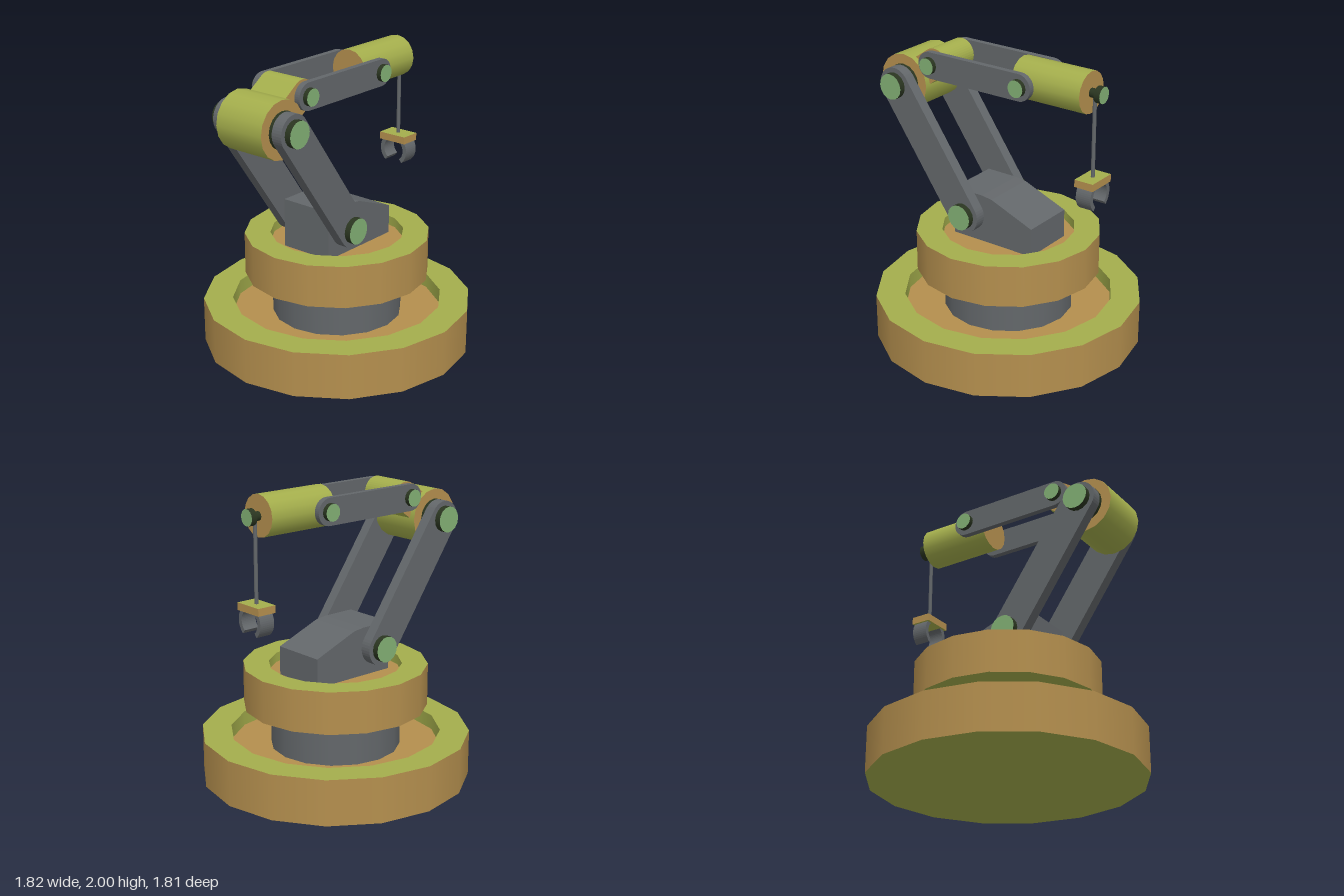
import * as THREE from 'three';

const mat = (name, color) => Object.assign(new THREE.MeshStandardMaterial({ color }), { name });

export function createModel() {
  const olive = mat('olive', 0xa4ae4c);
  const ochre = mat('ochre', 0xb48f4e);
  const grey = mat('steelGrey', 0x63676a);
  const dark = mat('darkPin', 0x2a3520);
  const green = mat('pinCapGreen', 0x82b074);

  const root = new THREE.Group();
  root.name = 'robotArm';

  const add = (name, geo, material, parent = root) => {
    const m = new THREE.Mesh(geo, material);
    m.name = name;
    parent.add(m);
    return m;
  };

  // Cylinder along z, centred at (x, y, z)
  const cylZ = (name, x, y, z, r, len, side, cap, seg = 16) => {
    const g = new THREE.CylinderGeometry(r, r, len, seg).rotateX(Math.PI / 2).translate(x, y, z);
    return add(name, g, [side, cap, cap]);
  };
  // Cylinder along x from x0 to x1
  const cylX = (name, x0, x1, y, r, side, cap) => {
    const g = new THREE.CylinderGeometry(r, r, x1 - x0, 16).rotateZ(-Math.PI / 2).translate((x0 + x1) / 2, y, 0);
    return add(name, g, [side, cap, cap]);
  };
  // Round-ended bar between points a and b, from z0 to z1
  const bar = (name, a, b, r, z0, z1, cap, side) => {
    const t = Math.atan2(b[1] - a[1], b[0] - a[0]);
    const s = new THREE.Shape();
    s.absarc(b[0], b[1], r, t - Math.PI / 2, t + Math.PI / 2, false);
    s.absarc(a[0], a[1], r, t + Math.PI / 2, t + Math.PI * 1.5, false);
    const g = new THREE.ExtrudeGeometry(s, { depth: z1 - z0, bevelEnabled: false, curveSegments: 10 });
    return add(name, g.translate(0, 0, z0), [cap, side]);
  };

  // Dished turntable: wall, rim, inner wall, floor and underside
  const dish = (name, r, inner, y0, y1, floor) => {
    const group = new THREE.Group();
    group.name = name;
    root.add(group);
    const p = [[0, y0], [r, y0], [r, y1], [inner, y1], [inner, floor], [0, floor]];
    const parts = [['Underside', olive], ['Wall', ochre], ['Rim', olive], ['InnerWall', olive], ['Floor', ochre]];
    parts.forEach(([part, m], i) => {
      const pts = [p[i], p[i + 1]].map(([x, y]) => new THREE.Vector2(x, y));
      add(name + part, new THREE.LatheGeometry(pts, 16), m, group);
    });
  };

  dish('base', 0.907, 0.71, 0, 0.31, 0.21);
  dish('turntable', 0.62, 0.447, 0.495, 0.78, 0.715);
  add('neck', new THREE.CylinderGeometry(0.437, 0.437, 0.275, 16).translate(0, 0.3475, 0), grey);
  add('neckGasket', new THREE.CylinderGeometry(0.425, 0.425, 0.012, 16).translate(0, 0.49, 0), dark);

  // Shoulder block
  const body = new THREE.Shape([[-0.31, 0.71], [0.32, 0.71], [0.32, 0.91], [0, 1.035], [-0.08, 1.045], [-0.31, 1.045]]
    .map(([x, y]) => new THREE.Vector2(x, y)));
  add('shoulderBlock', new THREE.ExtrudeGeometry(body, { depth: 0.38, bevelEnabled: false }).translate(0, 0, -0.19), grey);

  // Joints
  const shoulder = [-0.17, 0.907], elbow = [-0.725, 1.7], knuckle = [-0.495, 1.86], wrist = [0.217, 1.86];

  // Elbow drum with its link
  cylZ('elbowDrum', ...elbow, 0, 0.19, 0.37, olive, ochre);
  bar('elbowLink', elbow, knuckle, 0.1, -0.145, 0.145, ochre, olive);

  // Paired arm plates and spacers
  for (const s of [1, -1]) {
    const side = s > 0 ? 'left' : 'right';
    const span = (a, b) => (s > 0 ? [a, b] : [-b, -a]);
    bar(side + 'LowerArm', elbow, shoulder, 0.12, ...span(0.207, 0.282), grey, grey);
    bar(side + 'UpperArm', knuckle, wrist, 0.09, ...span(0.157, 0.197), grey, grey);
    cylZ(side + 'ElbowSpacer', ...elbow, s * 0.196, 0.122, 0.022, dark, dark);
  }

  // Pivot pins
  cylZ('shoulderPin', ...shoulder, 0, 0.088, 0.65, dark, green);
  cylZ('elbowPin', ...elbow, 0, 0.088, 0.65, dark, green);
  cylZ('knucklePin', ...knuckle, 0, 0.057, 0.46, dark, green);
  cylZ('wristPin', ...wrist, 0, 0.057, 0.46, dark, green);

  // Forearm cylinder and end spool
  cylX('forearm', 0.12, 0.63, 1.862, 0.138, olive, ochre);
  cylX('spoolAxle', 0.63, 0.685, 1.862, 0.03, dark, dark);
  cylX('spoolHead', 0.68, 0.722, 1.862, 0.055, dark, green);

  // Hanging rod, plate and claw
  add('hangingRod', new THREE.CylinderGeometry(0.013, 0.013, 0.56, 10).translate(0.657, 1.58, 0), grey);
  add('clawPlate', new THREE.BoxGeometry(0.137, 0.05, 0.21).translate(0.657, 1.28, 0),
    [ochre, ochre, olive, olive, ochre, ochre]);
  const gap = 0.68, a0 = -Math.PI / 2 + gap, a1 = Math.PI * 1.5 - gap;
  const claw = new THREE.Shape();
  claw.absarc(0, 0, 0.11, a0, a1, false);
  claw.absarc(0, 0, 0.08, a1, a0, true);
  const clawGeo = new THREE.ExtrudeGeometry(claw, { depth: 0.11, bevelEnabled: false, curveSegments: 20 });
  // keep the top of the ring inside the plate
  const pos = clawGeo.attributes.position;
  for (let i = 0; i < pos.count; i++) pos.setY(i, Math.min(pos.getY(i), 0.1));
  add('claw', clawGeo.rotateY(Math.PI / 2).translate(0.605, 1.193, 0), grey);

  return root;
}
